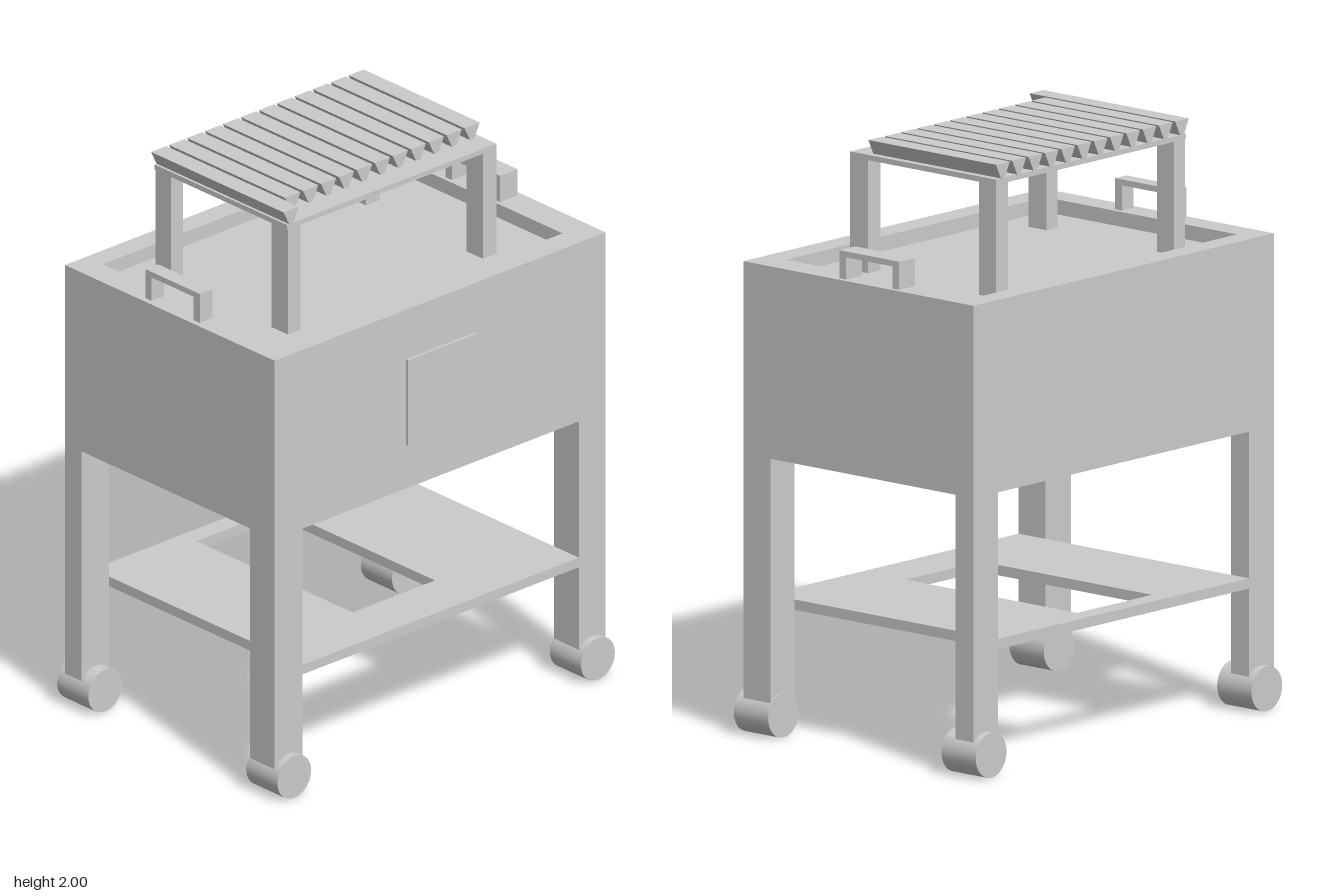
import * as THREE from 'three';

const material = new THREE.MeshStandardMaterial({ color: 0xcccccc });

function addMesh(parent, name, geometry) {
  const mesh = new THREE.Mesh(geometry, material);
  mesh.name = name;
  parent.add(mesh);
  return mesh;
}

// Box given by its extents on each axis
function block(parent, name, [x0, x1], [y0, y1], [z0, z1]) {
  const mesh = addMesh(parent, name, new THREE.BoxGeometry(x1 - x0, y1 - y0, z1 - z0));
  mesh.position.set((x0 + x1) / 2, (y0 + y1) / 2, (z0 + z1) / 2);
  return mesh;
}

// Horizontal slab with a rectangular opening
function frame(parent, name, [x0, x1], [z0, z1], hole, [y0, y1]) {
  const corners = (a, b, c, d) => [[a, -d], [b, -d], [b, -c], [a, -c]].map((p) => new THREE.Vector2(...p));
  const shape = new THREE.Shape(corners(x0, x1, z0, z1));
  shape.holes.push(new THREE.Path(corners(...hole).reverse()));
  const geometry = new THREE.ExtrudeGeometry(shape, { depth: y1 - y0, bevelEnabled: false });
  geometry.rotateX(-Math.PI / 2);
  addMesh(parent, name, geometry).position.y = y0;
}

function group(parent, name) {
  const g = new THREE.Group();
  g.name = name;
  parent.add(g);
  return g;
}

// Inverted-U handle standing on the rim
function handle(parent, name, [x0, x1], top, z) {
  const g = group(parent, name);
  block(g, 'handleBar', [x0, x1], [top - 0.02, top], z);
  block(g, 'handlePost', [x0, x0 + 0.03], [1.6, top - 0.02], z);
  block(g, 'handlePost', [x1 - 0.03, x1], [1.6, top - 0.02], z);
}

export function createModel() {
  const model = new THREE.Group();
  model.name = 'grillCart';

  // Cabinet with a shallow recessed top
  const cabinet = group(model, 'cabinet');
  block(cabinet, 'cabinetBody', [-0.51, 0.51], [0.95, 1.55], [-0.74, 0.745]);
  frame(cabinet, 'cabinetRim', [-0.51, 0.51], [-0.74, 0.745], [-0.43, 0.42, -0.63, 0.65], [1.55, 1.6]);
  block(cabinet, 'sidePanel', [0.505, 0.52], [1.11, 1.42], [-0.155, 0.155]);

  // Legs and casters at the four corners
  for (const [end, z] of [['front', [0.62, 0.745]], ['back', [-0.74, -0.62]]]) {
    for (const [side, x, wheelX] of [['Left', [0.39, 0.51], 0.46], ['Right', [-0.51, -0.43], -0.46]]) {
      block(model, `${end}${side}Leg`, x, [0.1, 0.95], z);
      const wheel = addMesh(model, `${end}${side}Caster`, new THREE.CylinderGeometry(0.076, 0.076, 0.152, 32));
      wheel.rotation.z = Math.PI / 2;
      wheel.position.set(wheelX, 0.076, end === 'front' ? 0.68 : -0.682);
    }
  }

  // Lower shelf with its opening
  frame(model, 'shelf', [-0.51, 0.51], [-0.62, 0.62], [-0.44, 0.32, -0.15, 0.22], [0.42, 0.455]);

  handle(model, 'frontHandle', [-0.14, 0.125], 1.705, [0.668, 0.725]);
  handle(model, 'backHandle', [-0.165, 0.1], 1.695, [-0.723, -0.645]);

  // Raised grill stand
  const grill = group(model, 'grillStand');
  for (const z of [[0.445, 0.5], [-0.435, -0.375]]) {
    block(grill, 'grillLeg', [-0.335, -0.26], [1.55, 1.935], z);
    block(grill, 'grillLeg', [0.23, 0.31], [1.55, 1.935], z);
  }
  block(grill, 'grillPlate', [-0.335, 0.31], [1.932, 1.95], [-0.435, 0.505]);

  // Slats: wide at the top, narrow at the bottom; the front one runs the full width
  const profile = new THREE.Shape([[-0.009, 0], [0.009, 0], [0.034, 0.052], [-0.034, 0.052]].map((p) => new THREE.Vector2(...p)));
  for (let i = 0; i < 12; i++) {
    const length = i === 11 ? 0.645 : 0.565;
    const geometry = new THREE.ExtrudeGeometry(profile, { depth: length, bevelEnabled: false });
    geometry.rotateY(Math.PI / 2);
    addMesh(grill, 'slat', geometry).position.set(-0.335, 1.948, -0.4 + i * 0.0805);
  }

  return model;
}
